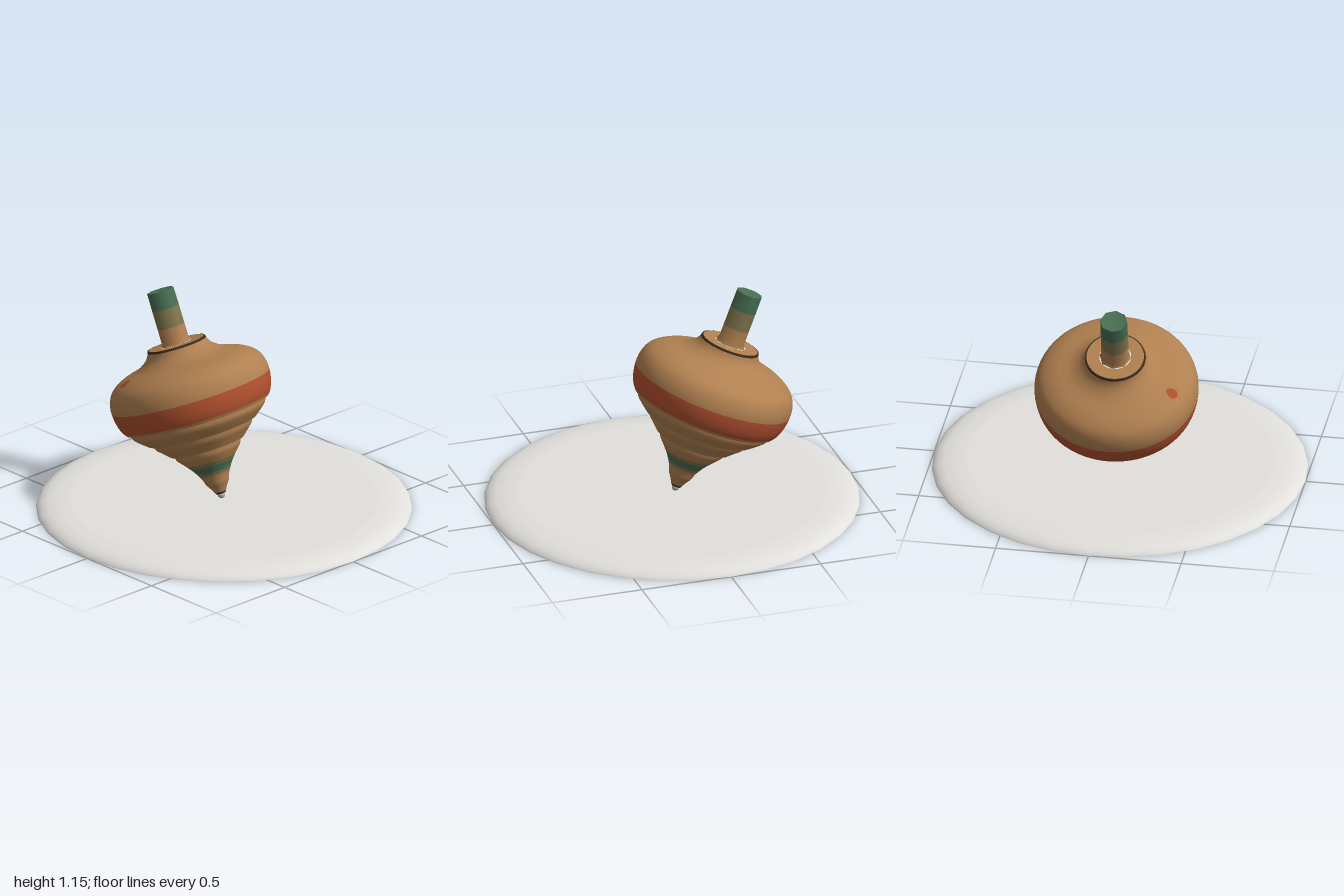
import * as THREE from 'three';

const mat = (name, color) => {
  const m = new THREE.MeshStandardMaterial({ color });
  m.name = name;
  return m;
};

export function createModel() {
  const wood = mat('wood', 0xb08050);
  const red = mat('red paint', 0xb0502f);
  const green = mat('green paint', 0x486f52);
  const olive = mat('faded green paint', 0x80754d);
  const dark = mat('dark line', 0x3a2c1c);
  const steel = mat('steel', 0xb4b4b4);
  const stone = mat('pale base', 0xe2e0dc);
  stone.side = THREE.DoubleSide;

  const model = new THREE.Group();
  const add = (parent, name, geometry, material) => {
    const mesh = new THREE.Mesh(geometry, material);
    mesh.name = name;
    parent.add(mesh);
    return mesh;
  };
  const lathe = (pairs, sides) =>
    new THREE.LatheGeometry(pairs.map(([r, y]) => new THREE.Vector2(r, y)), sides);

  // Thin, hollow base plate: a flat sheet with a turned-down rim, open below
  const base = new THREE.Group();
  base.name = 'base';
  model.add(base);
  add(base, 'baseRim', lathe([[1, 0], [0.995, 0.01], [0.975, 0.025], [0.94, 0.038], [0.88, 0.047], [0.82, 0.05]], 32), stone);
  add(base, 'baseTop', lathe([[0.82, 0.05], [0, 0.05]], 32), stone);

  // Leaning spinning top: everything below is built along its own axis
  const top = new THREE.Group();
  top.name = 'spinningTop';
  top.position.set(-0.015, 0.055, 0);
  top.quaternion.setFromUnitVectors(
    new THREE.Vector3(0, 1, 0),
    new THREE.Vector3(-0.375, 0.927, 0.037).normalize()
  );
  model.add(top);

  // Body silhouette as radius and height
  const outline = new THREE.SplineCurve([
    [0.026, 0.02], [0.045, 0.055], [0.064, 0.085], [0.072, 0.11], [0.09, 0.145], [0.125, 0.195],
    [0.207, 0.285], [0.287, 0.36], [0.357, 0.42], [0.412, 0.485], [0.434, 0.56],
    [0.433, 0.635], [0.402, 0.7], [0.33, 0.746], [0.245, 0.772], [0.19, 0.806],
    [0.168, 0.835], [0.16, 0.86],
  ].map(([r, y]) => new THREE.Vector2(r, y))).getPoints(240);

  // Fine grooves: the surface is cut back just below each of these heights
  const grooves = [0.284, 0.372, 0.462];
  const depth = 0.021, fade = 0.03;

  const radiusAt = (s) => {
    let i = 1;
    while (i < outline.length - 1 && outline[i].y < s) i++;
    const a = outline[i - 1], b = outline[i];
    let r = a.x + (b.x - a.x) * (s - a.y) / (b.y - a.y);
    for (const g of grooves) {
      const d = g - s;
      if (d > 0 && d < fade) r -= depth * (1 - d / fade);
    }
    return r;
  };

  const band = (name, s0, s1, material) => {
    const n = Math.max(2, Math.ceil((s1 - s0) / 0.012));
    const pts = [];
    for (let i = 0; i <= n; i++) {
      const s = s0 + (s1 - s0) * i / n;
      pts.push([radiusAt(s), s]);
    }
    add(top, name, lathe(pts, 64), material);
  };

  const e = 0.0002;
  band('tipLine', 0.02, 0.03, dark);
  band('nose', 0.03, 0.135, wood);
  band('lowerFadedStripe', 0.135, 0.152, olive);
  band('greenStripe', 0.152, 0.19, green);
  band('upperFadedStripe', 0.19, 0.212, olive);
  band('lowerBody', 0.212, grooves[0] - e, wood);
  band('lowerBody', grooves[0] + e, grooves[1] - e, wood);
  band('lowerBody', grooves[1] + e, grooves[2] - e, wood);
  band('lowerBody', grooves[2] + e, 0.477, wood);
  band('redStripe', 0.477, 0.592, red);
  band('shoulder', 0.592, 0.85, wood);
  band('collarLine', 0.85, 0.86, dark);

  // Dark downward faces of the grooves
  for (const g of grooves) {
    add(top, 'grooveLine', lathe([[radiusAt(g - e), g], [radiusAt(g + e), g]], 64), dark);
  }

  // Collar top and stem, with a slightly dished end
  add(top, 'collarRim', lathe([[0.16, 0.86], [0.153, 0.861]], 64), dark);
  add(top, 'collarTop', lathe([[0.153, 0.861], [0.085, 0.86]], 64), wood);
  add(top, 'stemBase', lathe([[0.085, 0.86], [0.075, 0.875], [0.074, 0.956]], 8), wood);
  add(top, 'stemFadedBand', lathe([[0.074, 0.956], [0.074, 1.06]], 8), olive);
  add(top, 'stemEnd', lathe([[0.074, 1.06], [0.073, 1.157]], 8), green);
  add(top, 'stemCap', lathe([[0.073, 1.157], [0.055, 1.15], [0, 1.145]], 8), green);

  // Steel point
  const ball = add(top, 'point', new THREE.SphereGeometry(0.02, 16, 12), steel);
  ball.position.y = 0.013;

  // Small painted spot wrapped onto the shoulder
  const spot = new THREE.CircleGeometry(1, 20);
  const p = spot.attributes.position;
  for (let i = 0; i < p.count; i++) {
    const phi = -0.34 + 0.085 * p.getX(i);
    const s = 0.741 + 0.014 * p.getY(i);
    const r = radiusAt(s) + 0.003;
    p.setXYZ(i, r * Math.sin(phi), s + 0.004, r * Math.cos(phi));
  }
  spot.computeVertexNormals();
  add(top, 'spot', spot, red);

  return model;
}
